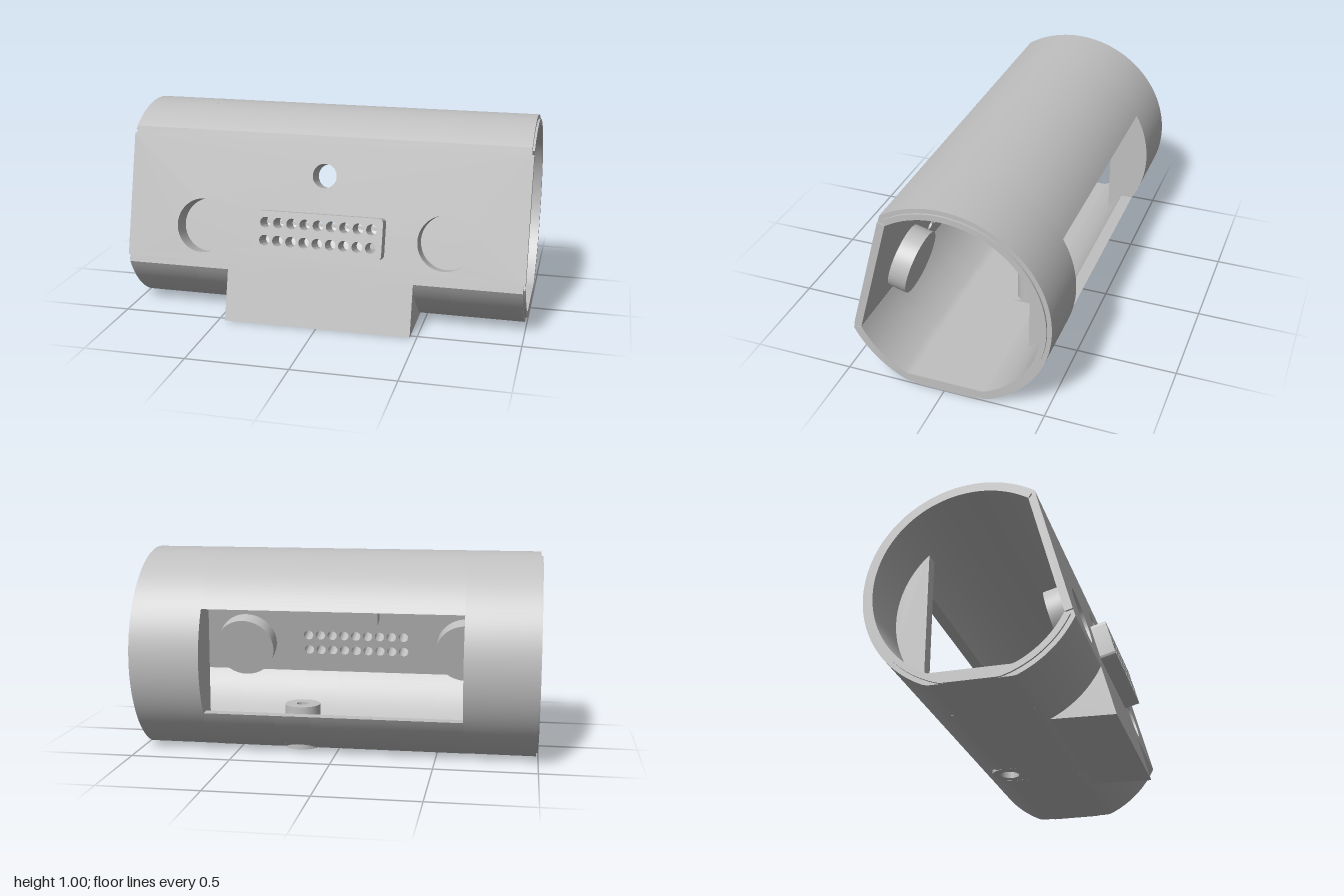
import * as THREE from 'three';
import { toCreasedNormals } from 'three/addons/utils/BufferGeometryUtils.js';

const CY = 0.48, CZ = -0.005;               // tube axis
const R = 0.52, LIP = 0.498, RI = 0.469;    // outer, end lip and inner radius
const FLOOR = 0.053, WALL = 0.038;          // floor and front wall thickness
const TILT = THREE.MathUtils.degToRad(15);
const FY = 0.45, FZ = 0.4064;               // middle of the sloping front
const A0 = 56.5, A1 = 333.5;                // arc that leaves the front open
const S0 = -0.175, S1 = 0.446;              // front wall extent along its slope
const WIN = 0.64;                           // half width of the rear window

export function createModel() {
  const model = new THREE.Group();
  const grey = new THREE.MeshStandardMaterial({ color: 0xc0c0c0 });
  grey.name = 'light grey';

  const add = (name, geometry, parent = model) => {
    const mesh = new THREE.Mesh(toCreasedNormals(geometry, 0.5), grey);
    mesh.name = name;
    parent.add(mesh);
    return mesh;
  };
  const extrude = (shape, depth) =>
    new THREE.ExtrudeGeometry(shape, { depth, bevelEnabled: false, curveSegments: 24 });

  // Extrudes a side profile of [z, y] points from x0 to x1
  const along = (name, points, x0, x1) => {
    const shape = new THREE.Shape(points.map(([z, y]) => new THREE.Vector2(-z, y)));
    add(name, extrude(shape, x1 - x0).rotateY(Math.PI / 2).translate(x0, 0, 0));
  };
  const onArc = (r, deg, floor) => {
    const a = THREE.MathUtils.degToRad(deg);
    return [CZ + r * Math.cos(a), Math.max(floor, CY + r * Math.sin(a))];
  };
  const arc = (r, from, to, floor) => {
    const n = Math.ceil(Math.abs(to - from) / 2.5);
    return Array.from({ length: n + 1 }, (_, i) => onArc(r, from + (to - from) * i / n, floor));
  };
  const onFront = (s) => [FZ - s * Math.sin(TILT), FY + s * Math.cos(TILT)];
  // Wall section: outer arc a0..a1, inner arc b0..b1, squared where it meets the front wall
  const section = (a0, a1, b0 = a0, b1 = a1, r = R) => [
    ...(a0 === A0 && r === R ? [onFront(S1)] : []),
    ...arc(r, a0, a1, 0),
    ...(a1 === A1 && r === R ? [onFront(S0)] : []),
    ...arc(RI, b1, b0, FLOOR),
  ];

  // Tube ends with stepped lips and rear segment ribs
  const chord = THREE.MathUtils.radToDeg(Math.acos((-0.318 - CZ) / RI));
  for (const side of [-1, 1]) {
    const span = (name, points, a, b) =>
      along(name, points, Math.min(a * side, b * side), Math.max(a * side, b * side));
    span('tubeEnd', section(A0, A1), WIN, 0.99);
    span('endLip', section(A0, A1, A0, A1, LIP), 0.99, 1);
    span('rearRib', arc(RI + 0.004, chord, 360 - chord, 0), WIN, 0.71);
  }

  // Middle of the tube, open at the rear window
  const PX = 0.195, PZ = -0.17, PR = 0.09;
  along('upperShell', section(A0, 150, A0, 146.3), -WIN, WIN);
  along('lowerShell', section(210, A1, 213.7, A1), -WIN, PX - PR);
  along('lowerShell', section(210, A1, 213.7, A1), PX + PR, WIN);
  along('lowerShellRear', section(210, 240.6, 213.7, 237.1), PX - PR, PX + PR);
  along('lowerShellFront', section(261.7, A1, 260.8, A1), PX - PR, PX + PR);

  const circle = (x, y, r) => new THREE.Path().absarc(x, y, r, 0, Math.PI * 2, true);
  const rect = (x0, y0, x1, y1) => new THREE.Shape([
    new THREE.Vector2(x0, y0), new THREE.Vector2(x1, y0),
    new THREE.Vector2(x1, y1), new THREE.Vector2(x0, y1)]);

  // Floor patch around the screw post, bent to follow the shell
  const patch = rect(-PR, -PR, PR, PR);
  patch.holes.push(circle(0, 0, PR - 0.002));
  const patchGeo = extrude(patch, 1).rotateX(-Math.PI / 2).translate(PX, 0, PZ);
  const pos = patchGeo.attributes.position;
  for (let i = 0; i < pos.count; i++) {
    const top = pos.getY(i) > 0.5, r = top ? RI : R;
    const dz = pos.getZ(i) - CZ;
    pos.setY(i, Math.max(top ? FLOOR : 0, CY - Math.sqrt(r * r - dz * dz)));
  }
  add('postFloor', patchGeo);

  // Turned parts
  const lathe = (points) =>
    new THREE.LatheGeometry(points.map(([x, y]) => new THREE.Vector2(x, y)), 48);
  add('screwPost', lathe([
    [0.03, 0.04], [0.048, 0.04], [0.048, 0], [PR, 0], [PR, 0.22], [0.03, 0.22], [0.03, 0.04],
  ])).position.set(PX, 0, PZ);

  // Foot under the front
  along('foot', [[0.527, 0], onFront(-0.209), ...arc(R - 0.008, 333.5, 293, 0)], -0.467, 0.467);

  // Sloping front: its local z points out of the wall
  const front = new THREE.Group();
  front.name = 'frontAssembly';
  front.position.set(0, FY, FZ);
  front.rotation.x = -TILT;
  model.add(front);

  const pinHoles = () => {
    const holes = [];
    for (let i = -4; i <= 4; i++)
      for (const y of [-0.044, 0.044]) holes.push(circle(i * 0.066, y, 0.026));
    return holes;
  };
  const EYE_X = 0.61, EYE_R = 0.135, TOP_S = 0.285;
  const wall = rect(-1, S0, 1, S1);
  wall.holes.push(...pinHoles(), circle(0, TOP_S, 0.06),
    circle(-EYE_X, 0, EYE_R), circle(EYE_X, 0, EYE_R));
  add('frontWall', extrude(wall, WALL).translate(0, 0, -WALL), front);

  // Round blind sockets behind the two large openings
  for (const side of [-1, 1]) {
    add('roundSocket', lathe([
      [0, -0.131], [0.162, -0.131], [0.162, -WALL], [EYE_R, -WALL], [EYE_R, -0.112], [0, -0.112],
    ]).rotateX(Math.PI / 2), front).position.x = side * EYE_X;
  }

  // Block behind the small upper hole
  const block = rect(-0.135, TOP_S - 0.135, 0.135, TOP_S + 0.135);
  block.holes.push(circle(0, TOP_S, 0.06));
  add('holeBlock', extrude(block, 0.082).translate(0, 0, -WALL - 0.082), front);

  // Raised pin block with rounded corners
  const w = 0.318, h = 0.1, c = 0.022, q = Math.PI / 2;
  const plate = new THREE.Shape();
  [[w - c, h - c], [c - w, h - c], [c - w, c - h], [w - c, c - h]].forEach(([x, y], i) =>
    plate.absarc(x, y, c, i * q, (i + 1) * q, false));
  plate.holes.push(...pinHoles());
  add('pinBlock', extrude(plate, 0.078), front);

  return model;
}
